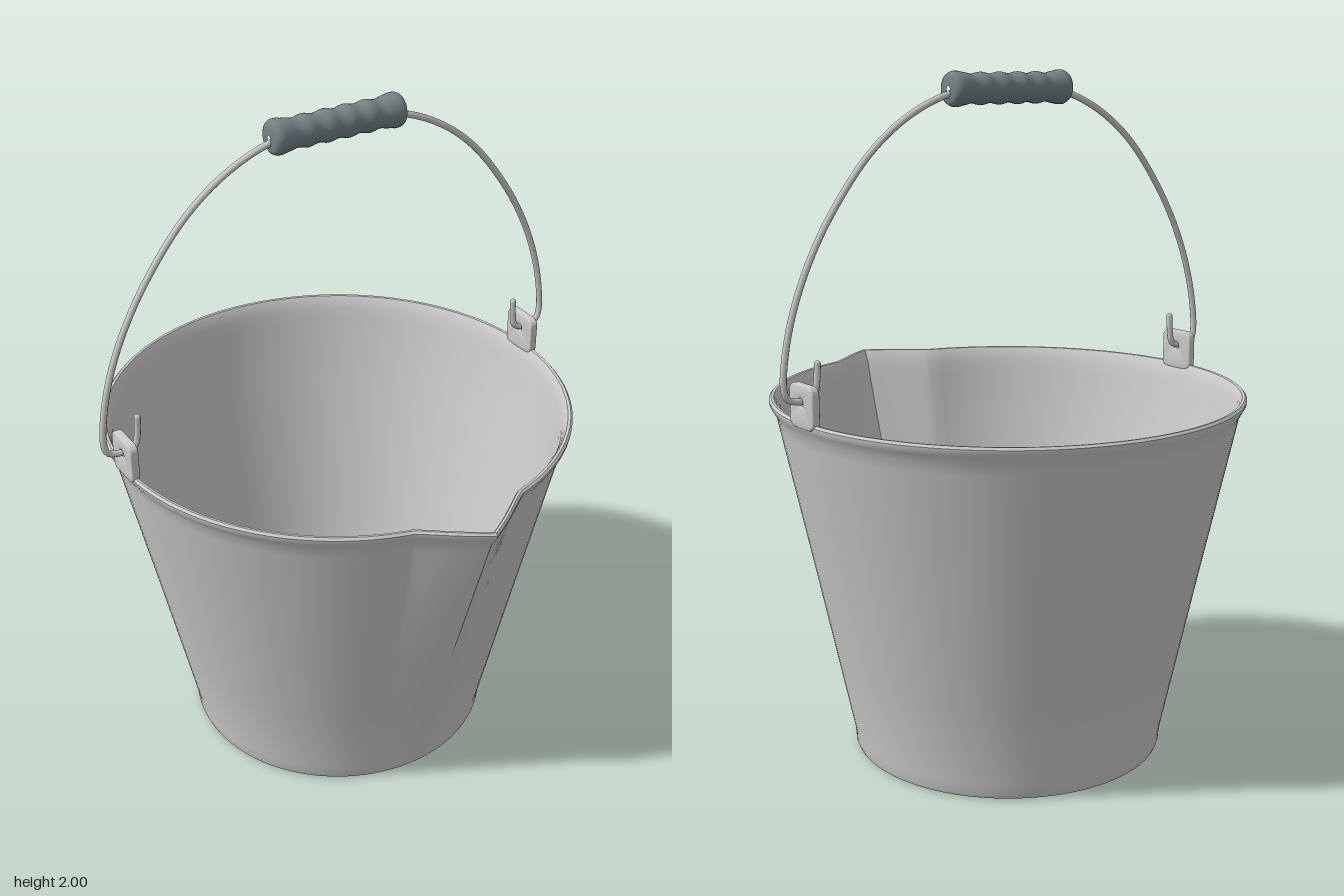
import * as THREE from 'three';
import { toCreasedNormals } from 'three/addons/utils/BufferGeometryUtils.js';

const steel = new THREE.MeshStandardMaterial({ color: 0xcccccc });
const rubber = new THREE.MeshStandardMaterial({ color: 0x768284 });
const CENTRE_Z = -0.05;

// Angles around the bucket, measured from +z, denser across the pouring lip
const SPOUT = 0.26;
const angles = [];
for (let i = 0; i < 24; i++) angles.push(-SPOUT + (2 * SPOUT * i) / 24);
for (let i = 0; i < 96; i++) angles.push(SPOUT + ((2 * Math.PI - 2 * SPOUT) * i) / 96);

// Closed wall section: underside, outer wall, flared rolled rim, inner wall, floor
const section = [
  [0, 0], [0.452, 0], [0.46, 0.004], [0.464, 0.014], [0.466, 0.045],
  [0.52, 0.3], [0.573, 0.55], [0.627, 0.8], [0.67, 1.0], [0.676, 1.03],
  [0.688, 1.052], [0.695, 1.064], [0.696, 1.074], [0.69, 1.081], [0.682, 1.08],
  [0.675, 1.068], [0.666, 1.04], [0.66, 1.0],
  [0.617, 0.8], [0.563, 0.55], [0.51, 0.3], [0.456, 0.045], [0.448, 0.022], [0, 0.02],
];

// The lip swells from nothing at the base to a sharp beak at the rim
function radiusAt(r, y, angle) {
  const s = Math.max(0, 1 - Math.abs(angle) / SPOUT);
  return r + 0.1 * Math.max(0, (y - 0.02) / 1.06) * Math.pow(s, 1.2);
}

function bucketGeometry() {
  const positions = [], index = [], n = angles.length;
  for (const [r, y] of section) {
    for (const a of angles) {
      const q = r === 0 ? 0 : radiusAt(r, y, a);
      positions.push(q * Math.sin(a), y, q * Math.cos(a));
    }
  }
  for (let j = 0; j < section.length - 1; j++) {
    for (let i = 0; i < n; i++) {
      const a = j * n + i, b = j * n + ((i + 1) % n);
      if (section[j][0] > 0) index.push(a, b, b + n);
      if (section[j + 1][0] > 0) index.push(a, b + n, a + n);
    }
  }
  const g = new THREE.BufferGeometry();
  g.setAttribute('position', new THREE.Float32BufferAttribute(positions, 3));
  g.setIndex(index);
  return toCreasedNormals(g, 0.6);
}

// Rounded square plate with a hole for the wire, facing sideways
function lugGeometry() {
  const w = 0.055, r = 0.018, s = new THREE.Shape();
  s.absarc(w - r, w - r, r, 0, Math.PI / 2);
  s.absarc(-w + r, w - r, r, Math.PI / 2, Math.PI);
  s.absarc(-w + r, -w + r, r, Math.PI, Math.PI * 1.5);
  s.absarc(w - r, -w + r, r, Math.PI * 1.5, Math.PI * 2);
  s.closePath();
  const hole = new THREE.Path();
  hole.absarc(0, 0.012, 0.017, 0, Math.PI * 2, true);
  s.holes.push(hole);
  const g = new THREE.ExtrudeGeometry(s, {
    depth: 0.014, bevelEnabled: true, bevelSize: 0.006, bevelThickness: 0.006,
    bevelSegments: 3, curveSegments: 10,
  });
  g.translate(0, 0, -0.007);
  g.rotateY(Math.PI / 2);
  return toCreasedNormals(g, 0.7);
}

// Bail wire: hooked end, through the lug, over the arch, mirrored to the other side
function bailCurve() {
  const half = [
    [0.643, 1.235], [0.646, 1.19], [0.655, 1.15], [0.675, 1.14], [0.71, 1.14],
    [0.738, 1.15], [0.748, 1.18], [0.74, 1.27], [0.713, 1.38], [0.665, 1.5],
    [0.59, 1.63], [0.465, 1.785], [0.34, 1.88], [0.21, 1.935], [0.1, 1.95],
  ];
  const points = half.map(([x, y]) => new THREE.Vector3(x, y, 0));
  const mirrored = half.map(([x, y]) => new THREE.Vector3(-x, y, 0)).reverse();
  return new THREE.CatmullRomCurve3([...points, ...mirrored], false, 'centripetal');
}

// Grip with raised ends and shallow finger grooves
function gripGeometry() {
  const L = 0.207, pts = [[0.008, -L], [0.034, -L], [0.044, -L + 0.006], [0.049, -L + 0.016], [0.049, -L + 0.03]];
  for (let i = 0; i <= 40; i++) {
    const u = i / 40;
    pts.push([0.043 + 0.0028 * Math.cos(u * Math.PI * 10), (u - 0.5) * 0.325]);
  }
  pts.push([0.049, L - 0.03], [0.049, L - 0.016], [0.044, L - 0.006], [0.034, L], [0.008, L]);
  const g = new THREE.LatheGeometry(pts.map(([x, y]) => new THREE.Vector2(x, y)), 32);
  return g.rotateZ(Math.PI / 2);
}

export function createModel() {
  const model = new THREE.Group();
  model.name = 'bucket';
  const add = (name, geometry, material, x = 0, y = 0) => {
    const mesh = new THREE.Mesh(geometry, material);
    mesh.name = name;
    mesh.position.set(x, y, CENTRE_Z);
    model.add(mesh);
  };

  add('bucketBody', bucketGeometry(), steel);

  const curve = bailCurve();
  add('handleWire', new THREE.TubeGeometry(curve, 260, 0.0095, 10), steel);
  add('handleGrip', gripGeometry(), rubber, 0, 1.95);

  // Lugs and rounded wire ends on both sides
  const lug = lugGeometry(), tip = new THREE.SphereGeometry(0.0095, 10, 8);
  for (const side of [1, -1]) {
    const name = side > 0 ? 'left' : 'right';
    add(name + 'Lug', lug, steel, side * 0.686, 1.124);
    add(name + 'WireEnd', tip, steel, side * 0.643, 1.235);
  }
  return model;
}
